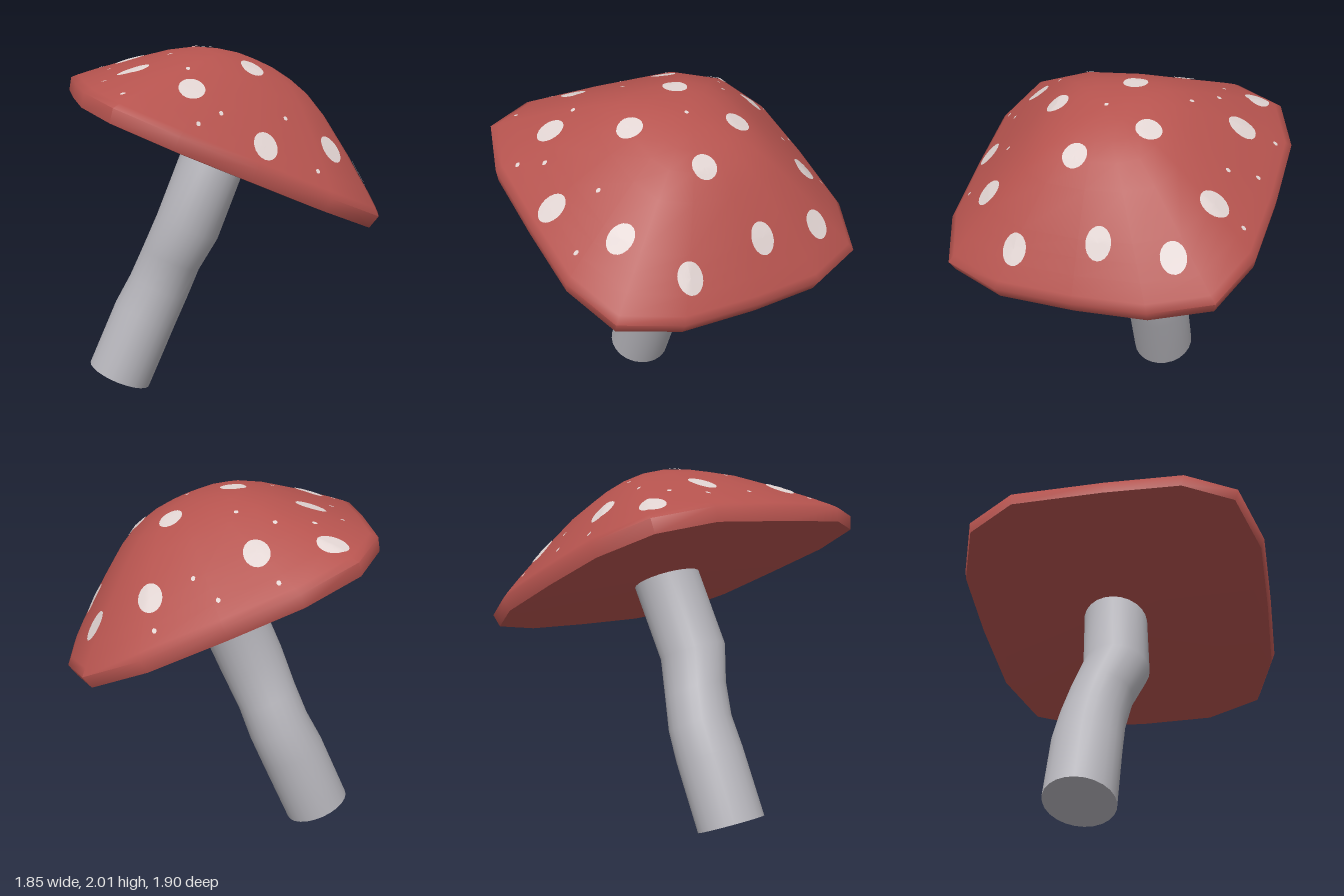
import * as THREE from 'three';
import { toCreasedNormals } from 'three/addons/utils/BufferGeometryUtils.js';

const V = (x, y, z) => new THREE.Vector3(x, y, z);

// The whole mushroom leans: local axis N with the perpendicular pair U, W
const N = V(0.4, 1, 0.16).normalize();
const U = V(1, 0, 0).addScaledVector(N, -N.x).normalize();
const W = U.clone().cross(N);
const CENTRE = V(0, 1.465, 0);

// Skin closed rings from top to bottom; the first and last ring are single points
function loft(rings, crease) {
  const n = rings[0].length, pos = [], idx = [];
  rings.forEach((ring) => ring.forEach((p) => pos.push(p.x, p.y, p.z)));
  for (let j = 0; j < rings.length - 1; j++) {
    for (let k = 0; k < n; k++) {
      const a = j * n + k, b = j * n + ((k + 1) % n), c = a + n, d = b + n;
      if (j < rings.length - 2) idx.push(a, d, c);
      else idx.push(a, b, d);
      if (j > 0 && j < rings.length - 2) idx.push(a, b, d);
    }
  }
  const g = new THREE.BufferGeometry();
  g.setAttribute('position', new THREE.Float32BufferAttribute(pos, 3));
  g.setIndex(idx);
  return toCreasedNormals(g, crease);
}

// Rim outline of the cap as x, z pairs
const OUTLINE = [
  [-0.38, -0.93], [-0.06, -0.955], [0.30, -0.84], [0.68, -0.69],
  [0.92, -0.47], [0.92, -0.13], [0.80, 0.25], [0.64, 0.66],
  [0.42, 0.93], [0.10, 0.95], [-0.28, 0.84], [-0.65, 0.72],
  [-0.905, 0.52], [-0.925, 0.22], [-0.79, -0.20], [-0.61, -0.70],
];

// Cap profile: outline scale, height along the axis; the rim is the widest ring
const PROFILE = [
  [0, 0.516], [0.12, 0.51], [0.24, 0.488], [0.36, 0.45], [0.5, 0.375],
  [0.72, 0.222], [0.8, 0.16], [0.88, 0.1], [0.965, 0.032], [1, 0],
  [0.98, -0.075], [0.9, -0.082], [0, -0.082],
];

function capGeometry() {
  const rim = OUTLINE.map(([x, z]) => V(x, -0.4 * x - 0.16 * z, z));
  const mean = rim.reduce((s, p) => s + p.length(), 0) / rim.length;
  const rings = PROFILE.map(([s, h]) => rim.map((p) => {
    // inner rings of the dome grow rounder
    const scale = s * THREE.MathUtils.lerp(1, mean / p.length(), (1 - s) * 0.5);
    return CENTRE.clone().addScaledVector(p, scale).addScaledVector(N, h);
  }));
  return loft(rings, 1.15);
}

// Stem from top to bottom: centre x, y, z and radius
const STEM = [
  [0, 1.39, -0.045, 0.19], [-0.178, 0.98, -0.06, 0.19], [-0.24, 0.78, -0.15, 0.178],
  [-0.295, 0.605, -0.203, 0.182], [-0.37, 0.44, -0.235, 0.19], [-0.525, 0.075, -0.28, 0.19],
];

function stemGeometry() {
  const ring = ([x, y, z, r]) => Array.from({ length: 24 }, (_, k) => {
    const t = (k / 24) * Math.PI * 2;
    return V(x, y, z).addScaledVector(U, r * Math.sin(t)).addScaledVector(W, -r * Math.cos(t));
  });
  const tip = ([x, y, z]) => ring([x, y, z, 0]);
  return loft([tip(STEM[0]), ...STEM.map(ring), tip(STEM[STEM.length - 1])], 0.9);
}

// Thin disc draped over the cap below the point x, z, stretched down the slope
function spotGeometry(cap, x, z, radius, segments) {
  const ray = new THREE.Raycaster(V(x, 3, z), V(0, -1, 0));
  const hit = ray.intersectObject(cap)[0];
  const n = hit.face.normal.clone();
  const steep = n.dot(N);
  const u = N.clone().addScaledVector(n, -steep).normalize();
  const w = n.clone().cross(u);
  const g = new THREE.RingGeometry(0, radius, segments, 3);
  const p = g.attributes.position;
  for (let i = 0; i < p.count; i++) {
    const q = hit.point.clone().addScaledVector(u, p.getX(i) / steep).addScaledVector(w, p.getY(i));
    ray.set(q.clone().addScaledVector(n, 0.2), n.clone().negate());
    const under = ray.intersectObject(cap)[0];
    const s = (under ? under.point : q).addScaledVector(n, 0.005);
    p.setXYZ(i, s.x, s.y, s.z);
  }
  g.computeVertexNormals();
  return g;
}

const LARGE_SPOTS = [
  [-0.31, -0.78], [0.05, -0.66], [0.555, -0.48], [0.79, -0.265], [-0.38, -0.37],
  [-0.05, -0.08], [0.33, -0.145], [-0.61, 0.145], [0.70, 0.11], [0.41, 0.235],
  [0.0, 0.345], [-0.45, 0.485], [-0.18, 0.755], [0.26, 0.71], [0.58, 0.55],
];
const SMALL_SPOTS = [
  [0.01, -0.85], [0.28, -0.73], [0.58, -0.63], [-0.49, -0.53], [-0.3, -0.585],
  [-0.1, -0.54], [0.35, -0.56], [0.05, -0.38], [-0.58, -0.22], [0.16, 0.075],
  [-0.33, 0.035], [-0.78, 0.155], [-0.4, 0.355], [-0.8, 0.415], [-0.36, 0.62],
  [0.03, 0.62], [0.08, 0.845], [-0.52, 0.67],
];

export function createModel() {
  const material = (name, color) => {
    const m = new THREE.MeshStandardMaterial({ color });
    m.name = name;
    return m;
  };
  const red = material('cap red', 0xb5534e);
  const grey = material('stem grey', 0xb6b5bb);
  const white = material('spot white', 0xe0d3d1);

  const model = new THREE.Group();
  model.name = 'mushroom';

  const cap = new THREE.Mesh(capGeometry(), red);
  cap.name = 'cap';
  const stem = new THREE.Mesh(stemGeometry(), grey);
  stem.name = 'stem';

  // Spots on the cap
  const spots = new THREE.Group();
  spots.name = 'spots';
  const addSpots = (list, name, radius, segments) => list.forEach(([x, z]) => {
    const mesh = new THREE.Mesh(spotGeometry(cap, x, z, radius, segments), white);
    mesh.name = name;
    spots.add(mesh);
  });
  addSpots(LARGE_SPOTS, 'largeSpot', 0.068, 20);
  addSpots(SMALL_SPOTS, 'smallSpot', 0.012, 8);

  model.add(stem, cap, spots);
  return model;
}
